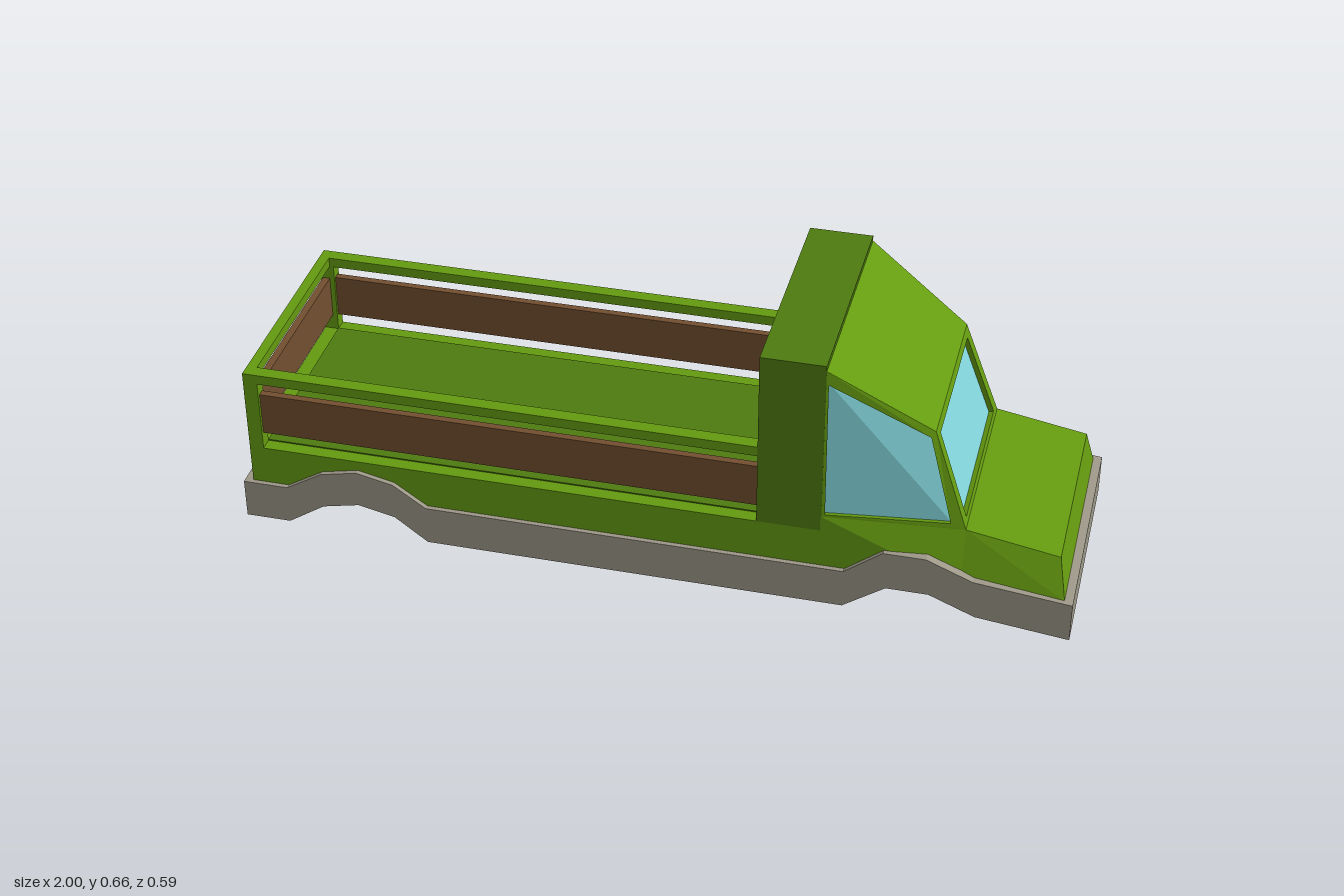
import * as THREE from 'three';

const mat = (name, color, side = THREE.FrontSide) => {
  const m = new THREE.MeshStandardMaterial({ color, side });
  m.name = name;
  return m;
};

export function createModel() {
  const truck = new THREE.Group();
  truck.name = 'pickupTruck';
  const green = mat('bodyGreen', 0x659c10);
  const darkGreen = mat('darkGreen', 0x4f7c10);
  const brown = mat('woodBrown', 0x734f31);
  const grey = mat('chassisGrey', 0x9d9888);
  const glass = mat('windowGlass', 0x84d8de, THREE.DoubleSide);

  const add = (name, geometry, material) => {
    const mesh = new THREE.Mesh(geometry, material);
    mesh.name = name;
    truck.add(mesh);
    return mesh;
  };
  const box = (name, material, x0, x1, y0, y1, z0, z1) => {
    const g = new THREE.BoxGeometry(x1 - x0, y1 - y0, z1 - z0);
    add(name, g.translate((x0 + x1) / 2, (y0 + y1) / 2, (z0 + z1) / 2), material);
  };

  // Flat four-cornered faces; corners run clockwise from top left as seen from outside
  const quads = (name, faces, material) => {
    const pos = [];
    for (const [a, b, c, d] of faces) pos.push(...a, ...d, ...c, ...a, ...c, ...b);
    const g = new THREE.BufferGeometry();
    g.setAttribute('position', new THREE.Float32BufferAttribute(pos, 3));
    g.computeVertexNormals();
    add(name, g, material);
  };
  const mirror = (f) => [1, 0, 3, 2].map((i) => [f[i][0], f[i][1], -f[i][2]]);
  const across = (x0, y0, z0, x1, y1, z1) => [[x0, y0, z0], [x0, y0, -z0], [x1, y1, -z1], [x1, y1, z1]];

  // Window frame with a recessed pane; uv gives the opening's corners within the panel
  const framedWindow = (name, panel, uv, depth) => {
    const v = panel.map((p) => new THREE.Vector3(...p));
    const inner = uv.map(([s, t]) =>
      v[0].clone().lerp(v[1], s).lerp(v[3].clone().lerp(v[2], s), t));
    const inward = v[2].clone().sub(v[0]).cross(v[3].clone().sub(v[1])).normalize().multiplyScalar(depth);
    const pane = inner.map((p) => p.clone().add(inward).toArray());
    const rim = inner.map((p) => p.toArray());
    const faces = [];
    for (let i = 0; i < 4; i++) {
      const j = (i + 1) % 4;
      faces.push([panel[i], panel[j], rim[j], rim[i]], [rim[i], rim[j], pane[j], pane[i]]);
    }
    quads(name + 'Frame', faces, green);
    quads(name + 'Glass', [pane], glass);
  };

  // Chassis with arches over the wheel positions
  const outline = [
    [-1, 0], [-0.89, 0], [-0.8, 0.06], [-0.71, 0.08], [-0.62, 0.06], [-0.54, 0],
    [0.47, 0], [0.57, 0.07], [0.67, 0.07], [0.78, 0], [1, 0],
    [1, 0.1], [0.77, 0.125], [0.66, 0.17], [0.56, 0.17], [0.47, 0.1],
    [-0.54, 0.1], [-0.62, 0.155], [-0.71, 0.175], [-0.8, 0.155], [-0.89, 0.1], [-1, 0.1],
  ];
  const shape = new THREE.Shape(outline.map((p) => new THREE.Vector2(...p)));
  const chassis = new THREE.ExtrudeGeometry(shape, { depth: 0.59, bevelEnabled: false });
  chassis.translate(0, 0, -0.295);
  // the left front underside is slightly raised
  const cp = chassis.attributes.position;
  for (let i = 0; i < cp.count; i++) {
    if (cp.getZ(i) > 0 && Math.abs(cp.getX(i) - 0.78) < 0.001) cp.setY(i, 0.025);
  }
  chassis.computeVertexNormals();
  add('chassis', chassis, grey);

  // Cargo bed
  const W = 0.283;
  box('bedBase', green, -0.98, 0.41, 0.09, 0.2, -W, W);
  box('bedFloor', darkGreen, -0.945, 0.26, 0.198, 0.203, -0.25, 0.25);
  for (const s of [1, -1]) {
    const z = (a, b) => (s > 0 ? [a, b] : [-b, -a]);
    box('rearPost', green, -0.98, -0.945, 0.2, 0.385, ...z(0.25, W));
    box('sideRail', green, -0.98, 0.26, 0.385, 0.41, ...z(0.25, W));
    box('sideSlat', brown, -0.945, 0.26, 0.24, 0.35, ...z(0.257, 0.275));
  }
  box('rearRail', green, -0.98, -0.955, 0.385, 0.41, -0.25, 0.25);
  box('rearSlat', brown, -0.975, -0.957, 0.24, 0.35, -0.25, 0.25);

  // Cab rear block
  box('cabBack', darkGreen, 0.26, 0.412, 0.2, 0.655, -W, W);

  // Sloping roof, bonnet, nose and lower sides
  const lower = [
    [[0.41, 0.24, W], [0.74, 0.235, 0.247], [0.74, 0.1, W], [0.41, 0.1, W]],
    [[0.74, 0.235, 0.247], [0.96, 0.197, 0.247], [0.98, 0.1, W], [0.74, 0.1, W]],
  ];
  quads('cabRoof', [across(0.41, 0.643, W, 0.655, 0.48, 0.225)], green);
  quads('bonnet', [across(0.74, 0.235, 0.247, 0.96, 0.197, 0.247)], green);
  quads('nose', [across(0.96, 0.197, 0.247, 0.98, 0.1, W)], green);
  quads('leftLowerSide', lower, green);
  quads('rightLowerSide', lower.map(mirror), green);

  // Windows
  const side = [[0.41, 0.643, W], [0.655, 0.48, 0.225], [0.74, 0.235, 0.247], [0.41, 0.24, W]];
  const uv = [[0.03, 0.085], [0.93, 0.1], [0.905, 0.95], [0.03, 0.985]];
  framedWindow('leftWindow', side, uv, 0.01);
  framedWindow('rightWindow', mirror(side), [1, 0, 3, 2].map((i) => [1 - uv[i][0], uv[i][1]]), 0.01);
  framedWindow('windscreen', across(0.655, 0.48, 0.225, 0.74, 0.235, 0.247),
    [[0.064, 0.08], [0.936, 0.08], [0.937, 0.945], [0.063, 0.945]], 0.012);

  return truck;
}
